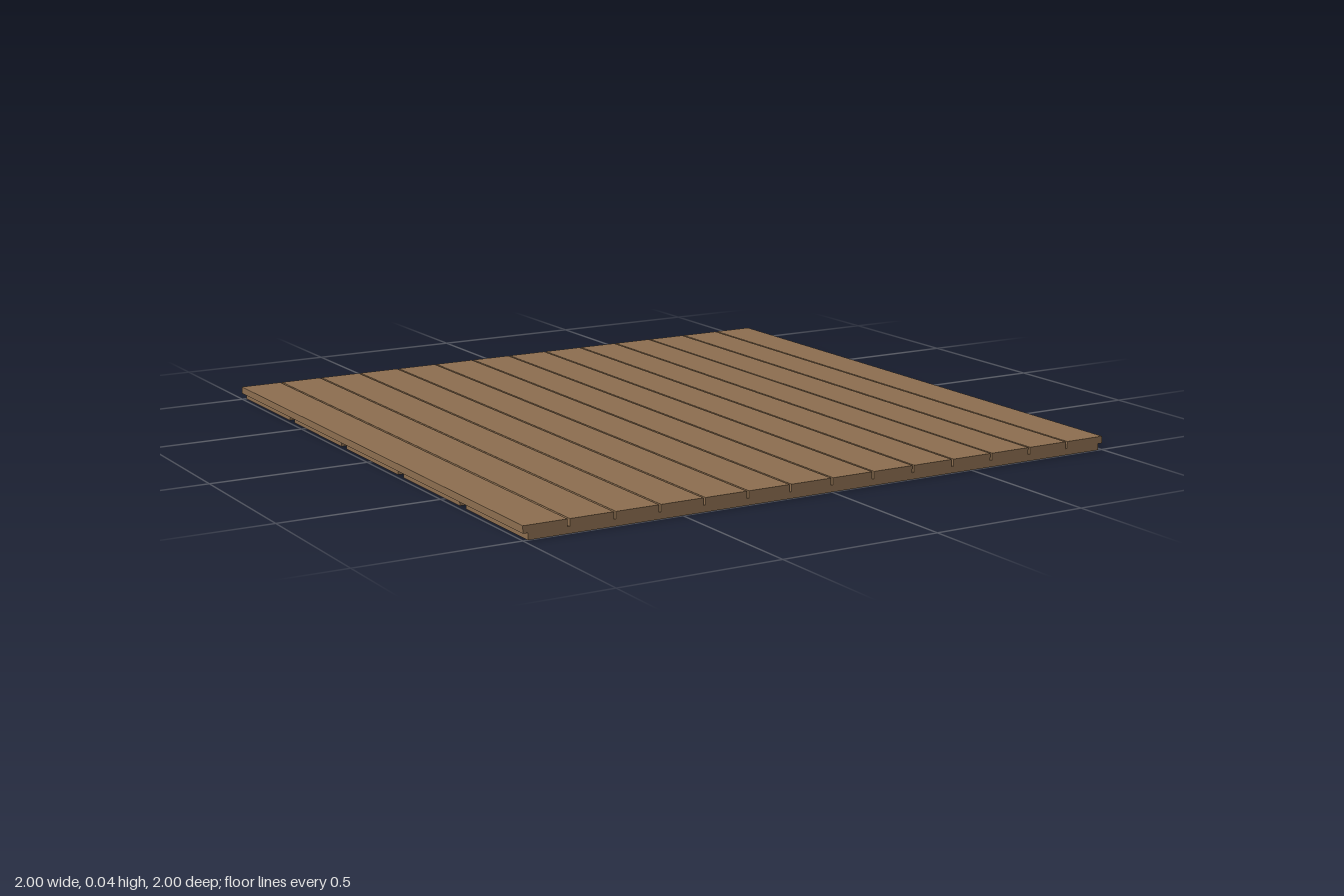
import * as THREE from 'three';

const wood = new THREE.MeshStandardMaterial({ color: 0x8b6d4f });
wood.name = 'brown wood';

// Row of equal boards centred on one axis, separated by narrow gaps
function addRow(group, name, count, axis, gap, length, y0, y1) {
  const width = (2 - gap * (count - 1)) / count;
  const size = axis === 'x' ? [width, y1 - y0, length] : [length, y1 - y0, width];
  const geometry = new THREE.BoxGeometry(...size);
  for (let i = 0; i < count; i++) {
    const board = new THREE.Mesh(geometry, wood);
    board.name = name + (i + 1);
    board.position.y = (y0 + y1) / 2;
    board.position[axis] = -1 + width / 2 + i * (width + gap);
    group.add(board);
  }
}

export function createModel() {
  const model = new THREE.Group();
  model.name = 'plankFloor';
  // Top planks running front to back
  addRow(model, 'plank', 14, 'x', 0.007, 2, 0.02, 0.042);
  // Wide support boards running across underneath
  addRow(model, 'supportBoard', 5, 'z', 0.038, 1.97, 0, 0.02);
  return model;
}
